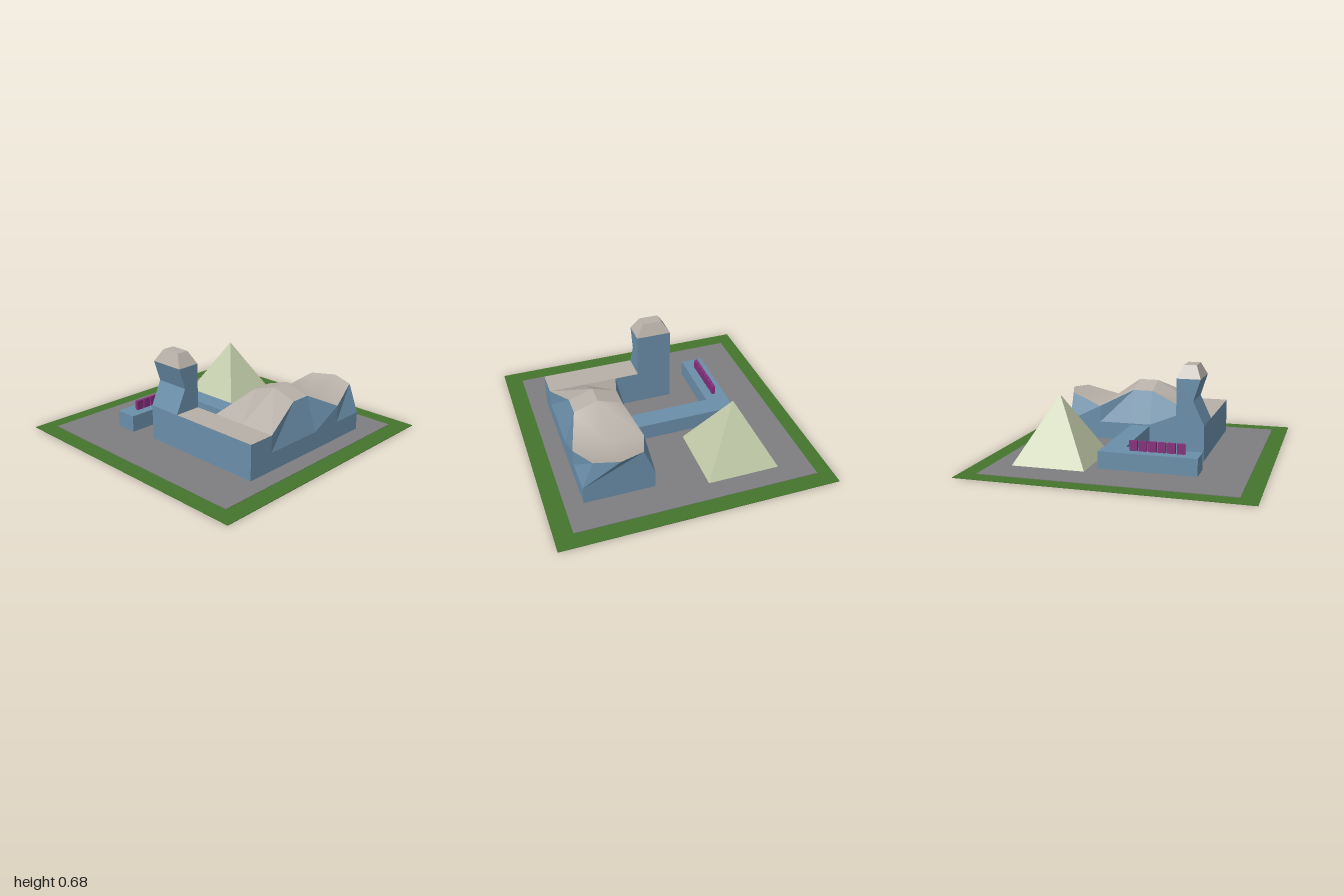
import * as THREE from 'three';

const paint = (name, color) => Object.assign(new THREE.MeshStandardMaterial({ color }), { name });

export function createModel() {
  const model = new THREE.Group();
  const grass = paint('grass green', 0x45752d);
  const paving = paint('paving grey', 0x7e7d80);
  const wall = paint('wall blue', 0x6a8ea9);
  const roof = paint('roof beige', 0xb7b0a8);
  const stone = paint('pyramid stone', 0xc2cba9);
  const purple = paint('sign purple', 0x85307c);

  const add = (name, geometry, material) => {
    const mesh = new THREE.Mesh(geometry, material);
    mesh.name = name;
    model.add(mesh);
    return mesh;
  };
  // Box given by its limits on each axis
  const box = (name, [x0, x1], [y0, y1], [z0, z1], material) =>
    add(name, new THREE.BoxGeometry(x1 - x0, y1 - y0, z1 - z0), material)
      .position.set((x0 + x1) / 2, (y0 + y1) / 2, (z0 + z1) / 2);
  // Geometry from points and faces, faceted unless smooth
  const surface = (points, faces, smooth = false) => {
    let g = new THREE.BufferGeometry();
    g.setAttribute('position', new THREE.Float32BufferAttribute(points.flat(), 3));
    g.setIndex(faces.flat());
    if (!smooth) g = g.toNonIndexed();
    g.computeVertexNormals();
    return g;
  };
  // Skin over part of a list of cross-sections
  const skin = (sections, first, last, from, to, smooth) => {
    const n = sections[0].length, faces = [];
    for (let i = first; i < last; i++) {
      for (let j = from; j < to; j++) {
        const a = i * n + j, b = a + n;
        faces.push([a, b, b + 1], [a, b + 1, a + 1]);
      }
    }
    return surface(sections.flat(), faces, smooth);
  };

  // Site
  box('lawn', [-1, 1], [0, 0.004], [-1, 1], grass);
  box('pavement', [-0.89, 0.87], [0.002, 0.008], [-0.88, 0.88], paving);

  // Pyramid
  const cone = new THREE.ConeGeometry(0.268 * Math.SQRT2, 0.472, 4).rotateY(Math.PI / 4).toNonIndexed();
  cone.computeVertexNormals();
  add('pyramid', cone, stone).position.set(-0.393, 0.236, -0.47);

  // Low L-shaped gallery
  box('galleryLink', [-0.4, 0.24], [0, 0.13], [-0.14, 0.01], wall);
  box('galleryWing', [-0.565, -0.4], [0, 0.13], [-0.14, 0.55], wall);

  // Row of plain purple blocks on the gallery roof
  for (let i = 0; i < 6; i++) {
    const z = 0.062 + i * 0.066;
    box('signBlock', [-0.492, -0.468], [0.13, 0.2], [z, z + 0.055], purple);
  }

  // Front wing
  box('frontWing', [0.05, 0.74], [0, 0.265], [0.32, 0.52], [wall, wall, roof, wall, wall, wall]);

  // Tower with a pinched front
  const profile = new THREE.Shape([[0.32, 0], [0.52, 0], [0.52, 0.265], [0.44, 0.435], [0.49, 0.59], [0.32, 0.59]]
    .map(([z, y]) => new THREE.Vector2(z, y)));
  const tower = new THREE.ExtrudeGeometry(profile, { depth: 0.26, bevelEnabled: false });
  add('tower', tower.rotateY(-Math.PI / 2), wall).position.x = 0.05;

  // Tapered tower cap
  const cap = new THREE.BoxGeometry(0.26, 0.09, 0.17);
  const cp = cap.attributes.position;
  for (let i = 0; i < cp.count; i++) {
    if (cp.getY(i) > 0) {
      cp.setX(i, cp.getX(i) * 0.56);
      cp.setZ(i, cp.getZ(i) * 0.53);
    }
  }
  cap.computeVertexNormals();
  add('towerCap', cap, roof).position.set(-0.08, 0.635, 0.405);

  // Main hall: z, eave half-width, eave height, ridge height, ridge z
  const cx = 0.485;
  const sections = [
    [0.32, 0.255, 0.265, 0.265, 0.32],
    [0.01, 0.175, 0.39, 0.447, 0.01],
    [-0.14, 0.175, 0.39, 0.447, -0.14],
    [-0.39, 0.255, 0.265, 0.265, -0.39],
    [-0.64, 0.175, 0.345, 0.357, -0.7],
  ].map(([z, w, eave, ridge, rz]) => [
    [cx + 0.255, 0, z], [cx + 0.255, 0.14, z], [cx + w, eave, z], [cx, ridge, rz],
    [cx - w, eave, z], [cx - 0.255, 0.14, z], [cx - 0.255, 0, z],
  ]);
  add('hallLeftWall', skin(sections, 0, 4, 0, 2), wall);
  add('hallRightWall', skin(sections, 0, 4, 4, 6), wall);
  add('hallFrontRoof', skin(sections, 0, 2, 2, 4), roof);
  add('hallBackRoof', skin(sections, 2, 4, 2, 4, true), roof);
  // Back wall leaning out to the ridge
  const fan = [[0, 6], [6, 5], [5, 4], [4, 3], [3, 2]].map(([a, b]) => [1, a, b]);
  add('hallBackWall', surface(sections[4], fan), wall);

  return model;
}
